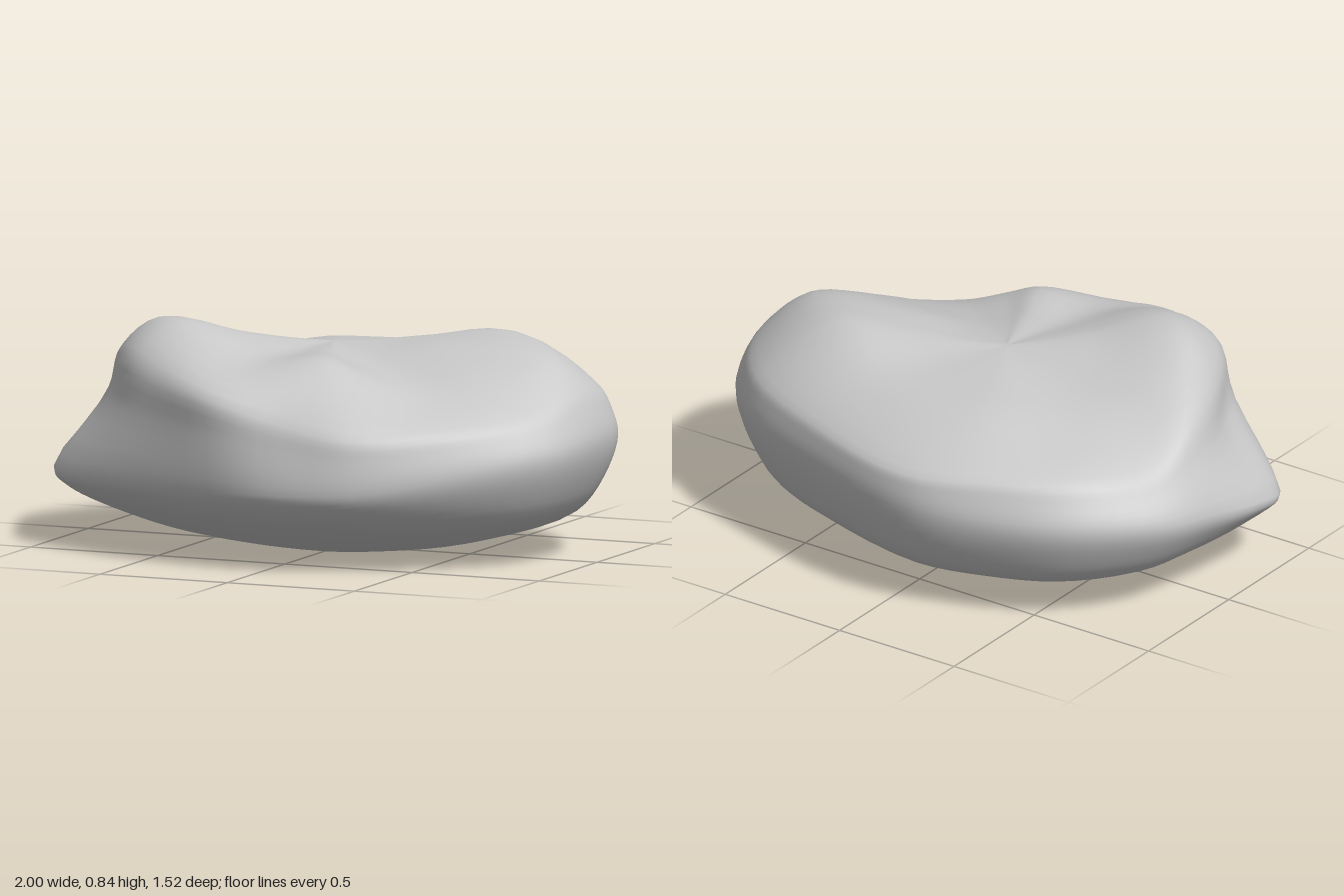
import * as THREE from 'three';
import { mergeVertices } from 'three/addons/utils/BufferGeometryUtils.js';

// Three rings round the boulder, from its left side by way of the front
const waist = [
  [1, .43, 0], [.93, .4, .28], [.65, .34, .55], [.36, .29, .72], [.1, .28, .76], [-.2, .28, .73],
  [-.58, .27, .61], [-.96, .26, .38], [-1, .3, .2], [-.98, .35, -.05], [-.92, .38, -.29], [-.7, .4, -.55],
  [-.4, .4, -.69], [-.08, .41, -.755], [.42, .42, -.64], [.77, .43, -.49], [.97, .43, -.25],
];
const shoulder = [
  [.93, .62, 0], [.86, .55, .25], [.61, .51, .52], [.34, .5, .69], [.07, .55, .71], [-.2, .63, .73],
  [-.47, .69, .59], [-.62, .73, .48], [-.74, .71, .3], [-.82, .67, .04], [-.82, .56, -.22], [-.66, .56, -.47],
  [-.38, .56, -.64], [-.08, .55, -.73], [.38, .57, -.62], [.73, .59, -.46], [.91, .6, -.22],
];
const crown = [
  [.79, .725, 0], [.66, .66, .2], [.46, .62, .36], [.29, .67, .46], [.13, .735, .47], [-.13, .72, .49],
  [-.36, .8, .45], [-.48, .836, .38], [-.6, .828, .28], [-.66, .75, .08], [-.6, .67, -.12], [-.48, .65, -.28],
  [-.26, .68, -.42], [-.04, .685, -.46], [.28, .7, -.42], [.53, .775, -.27], [.7, .76, -.15],
];
// Underside bowl: [fraction of the waist, height]
const bowl = [[.3, .012], [.6, .065], [.86, .158]];

const toCurve = (points, closed) => new THREE.CatmullRomCurve3(points, closed, 'centripetal');
const ringCurve = (ring) => toCurve(ring.map((p) => new THREE.Vector3(...p)), true);
// Soft round swelling centred on (x, z)
const swell = (p, x, z, width) => Math.exp(-((p.x - x) ** 2 + (p.z - z) ** 2) / width ** 2);

function boulderGeometry(around = 68, rows = 48) {
  const [w, s, c] = [waist, shoulder, crown].map(ringCurve);
  const top = new THREE.Vector3(-.03, .74, 0);
  const positions = [];
  const index = [];
  for (let i = 0; i < around; i++) {
    const t = i / around;
    const rim = w.getPoint(t);
    const upper = s.getPoint(t);
    const edge = c.getPoint(t);
    // Turn from the bowl up to the waist
    const chine = new THREE.Vector3(rim.x * .955, .17 + .45 * (rim.y - .17), rim.z * .955);
    // Wall between waist and shoulder, hollowed under the overhang above the lip
    const neck = rim.clone().lerp(upper, .6);
    const bulge = 1.015 - .065 * swell(neck, -.8, .33, .25);
    neck.x *= bulge;
    neck.z *= bulge;
    // Gently rounded middle of the top, with the ridge behind the front hollow
    const middle = [.55, .25].map((f) => {
      const p = edge.clone().lerp(top, 1 - f);
      p.y = top.y + (edge.y - top.y) * f ** 1.4 + .025 * swell(p, .42, 0, .16);
      return p;
    });
    const column = toCurve([
      new THREE.Vector3(0, 0, 0),
      ...bowl.map(([f, y]) => new THREE.Vector3(rim.x * f, y, rim.z * f)),
      chine, rim, neck, upper, edge, ...middle, top,
    ], false);
    for (let j = 0; j <= rows; j++) positions.push(...column.getPoint(j / rows).toArray());
  }
  // Join neighbouring columns
  for (let i = 0; i < around; i++) {
    for (let j = 0; j < rows; j++) {
      const a = i * (rows + 1) + j;
      const b = ((i + 1) % around) * (rows + 1) + j;
      if (j > 0) index.push(a, a + 1, b);
      if (j < rows - 1) index.push(b, a + 1, b + 1);
    }
  }
  const raw = new THREE.BufferGeometry();
  raw.setAttribute('position', new THREE.Float32BufferAttribute(positions, 3));
  raw.setIndex(index);
  const geometry = mergeVertices(raw, 1e-5);
  geometry.computeVertexNormals();
  return geometry;
}

export function createModel() {
  const stone = new THREE.MeshStandardMaterial({ color: 0xc8c8c8 });
  stone.name = 'stone grey';
  const boulder = new THREE.Mesh(boulderGeometry(), stone);
  boulder.name = 'boulder';
  const model = new THREE.Group();
  model.name = 'rock';
  model.add(boulder);
  return model;
}
